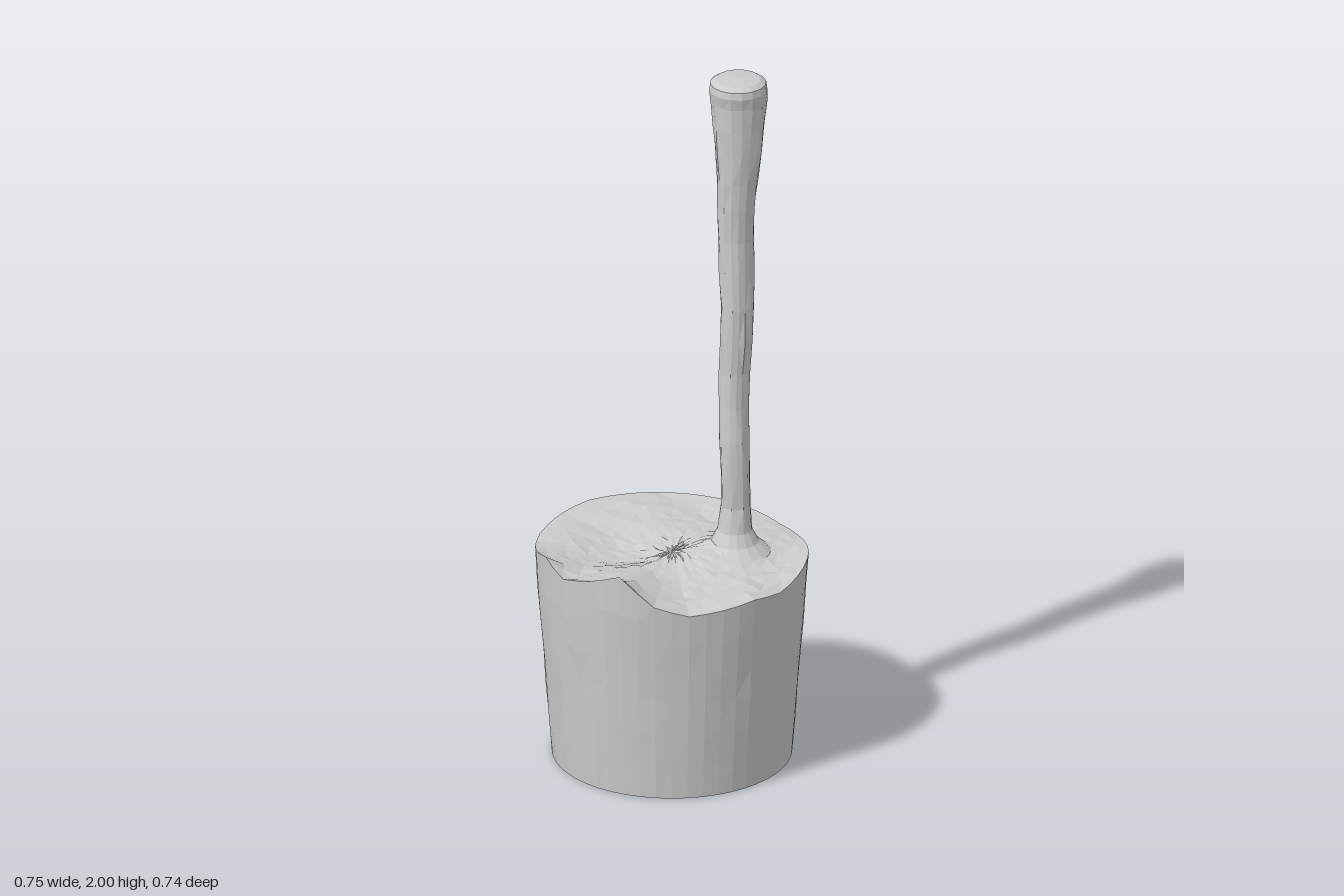
import * as THREE from 'three';

const SIDES = 48;
const STICK = { x: 0.172, z: 0 };

// Rim height every 15 degrees, from +x towards +z
const RIM = [0.585, 0.595, 0.585, 0.57, 0.58, 0.57, 0.562, 0.59, 0.67, 0.635, 0.61, 0.64,
  0.615, 0.6, 0.6, 0.605, 0.61, 0.605, 0.6, 0.595, 0.59, 0.58, 0.57, 0.575];

function rimHeight(angle) {
  const s = ((angle / (Math.PI * 2)) * RIM.length + RIM.length) % RIM.length;
  const i = Math.floor(s), f = s - i, k = f * f * (3 - 2 * f);
  return RIM[i % RIM.length] * (1 - k) + RIM[(i + 1) % RIM.length] * k;
}

// Small repeatable unevenness in -1..1
function noise(a, b) {
  const v = Math.sin(a * 12.9898 + b * 78.233) * 43758.5453;
  return (v - Math.floor(v)) * 2 - 1;
}

// Skins a grid of rings: point(ring, side) gives each corner
function loft(rings, sides, point) {
  const pos = [], index = [];
  for (let r = 0; r < rings; r++) {
    for (let s = 0; s < sides; s++) pos.push(...point(r, s));
  }
  for (let r = 0; r < rings - 1; r++) {
    for (let s = 0; s < sides; s++) {
      const n = (s + 1) % sides;
      const a = r * sides + s, b = r * sides + n, c = a + sides, d = b + sides;
      if ((r + s) % 2) index.push(a, c, b, b, c, d);
      else index.push(a, c, d, a, d, b);
    }
  }
  const geo = new THREE.BufferGeometry();
  geo.setAttribute('position', new THREE.Float32BufferAttribute(pos, 3));
  geo.setIndex(index);
  geo.computeVertexNormals();
  return geo;
}

// Lumpy filling that meets the rim and swells up around the stick
function fillHeight(x, z, t, angle) {
  const waves = 0.59 + 0.012 * Math.sin(9 * x + 14 * z + 1) + 0.008 * Math.sin(17 * x - 8 * z)
    - 0.014 * Math.exp(-(((z + 0.04 + x * 0.4) / 0.07) ** 2));
  const d = Math.hypot(x - STICK.x, z - STICK.z);
  const k = t ** 4;
  return waves * (1 - k) + rimHeight(angle) * k + 0.03 * Math.exp(-((d / 0.07) ** 2)) * (1 - k);
}

export function createModel() {
  const group = new THREE.Group();
  const material = new THREE.MeshStandardMaterial({
    color: 0xcccccc, flatShading: true, side: THREE.DoubleSide,
  });
  const add = (name, geo) => {
    const mesh = new THREE.Mesh(geo, material);
    mesh.name = name;
    group.add(mesh);
    return mesh;
  };
  const rimRadius = (y) => 0.328 + 0.045 * Math.min(1, y / 0.58);

  // Tapered tub wall, slightly uneven between base and rim
  const wallRings = 7;
  add('tubWall', loft(wallRings, SIDES, (r, s) => {
    const angle = (s / SIDES) * Math.PI * 2;
    const inner = r > 0 && r < wallRings - 1;
    const y = rimHeight(angle) * (r / (wallRings - 1)) + (inner ? 0.02 * noise(r, s) : 0);
    const radius = rimRadius(y) + (inner ? 0.0015 * noise(s, r) : 0);
    return [Math.cos(angle) * radius, y, Math.sin(angle) * radius];
  }));

  // Flat base
  const base = add('tubBase', new THREE.CircleGeometry(0.328, SIDES));
  base.rotation.x = Math.PI / 2;

  // Uneven filling surface, from the rim inwards
  const fillRings = 14;
  add('filling', loft(fillRings, SIDES, (r, s) => {
    const t = 1 - r / (fillRings - 1);
    const angle = (s / SIDES) * Math.PI * 2;
    const radius = rimRadius(rimHeight(angle)) * t;
    const x = Math.cos(angle) * radius, z = Math.sin(angle) * radius;
    const rough = t > 0 && t < 1 ? 0.003 * noise(r, s) : 0;
    return [x, fillHeight(x, z, t, angle) + rough, z];
  }));

  // Stick outline as [radius, height]: flared foot, thin shaft, thick rounded head
  const outline = [[0.1, 0.585], [0.066, 0.615], [0.048, 0.65], [0.041, 0.72], [0.041, 0.82],
    [0.042, 0.92], [0.041, 1.02], [0.043, 1.12], [0.045, 1.22], [0.046, 1.32], [0.048, 1.42],
    [0.049, 1.52], [0.052, 1.62], [0.056, 1.7], [0.063, 1.78], [0.071, 1.86], [0.077, 1.93],
    [0.08, 1.965], [0.077, 1.985], [0.062, 1.995], [0.0, 2.0]];
  const stickSides = 16;
  add('stick', loft(outline.length, stickSides, (r, s) => {
    const [radius, y] = outline[r];
    const angle = (s / stickSides) * Math.PI * 2;
    const shaft = y > 0.65 && y < 1.95 ? 1 : 0;
    const rad = radius * (1 + 0.05 * shaft * noise(r, s));
    // The shaft wanders a little and leans towards +x near the head
    const cx = STICK.x + 0.01 * Math.max(0, y - 0.9) / 1.1 + 0.003 * shaft * Math.sin(y * 11);
    const cz = STICK.z + 0.004 * shaft * Math.sin(y * 15 + 1);
    return [cx + Math.cos(angle) * rad, y, cz + Math.sin(angle) * rad];
  }));

  return group;
}
